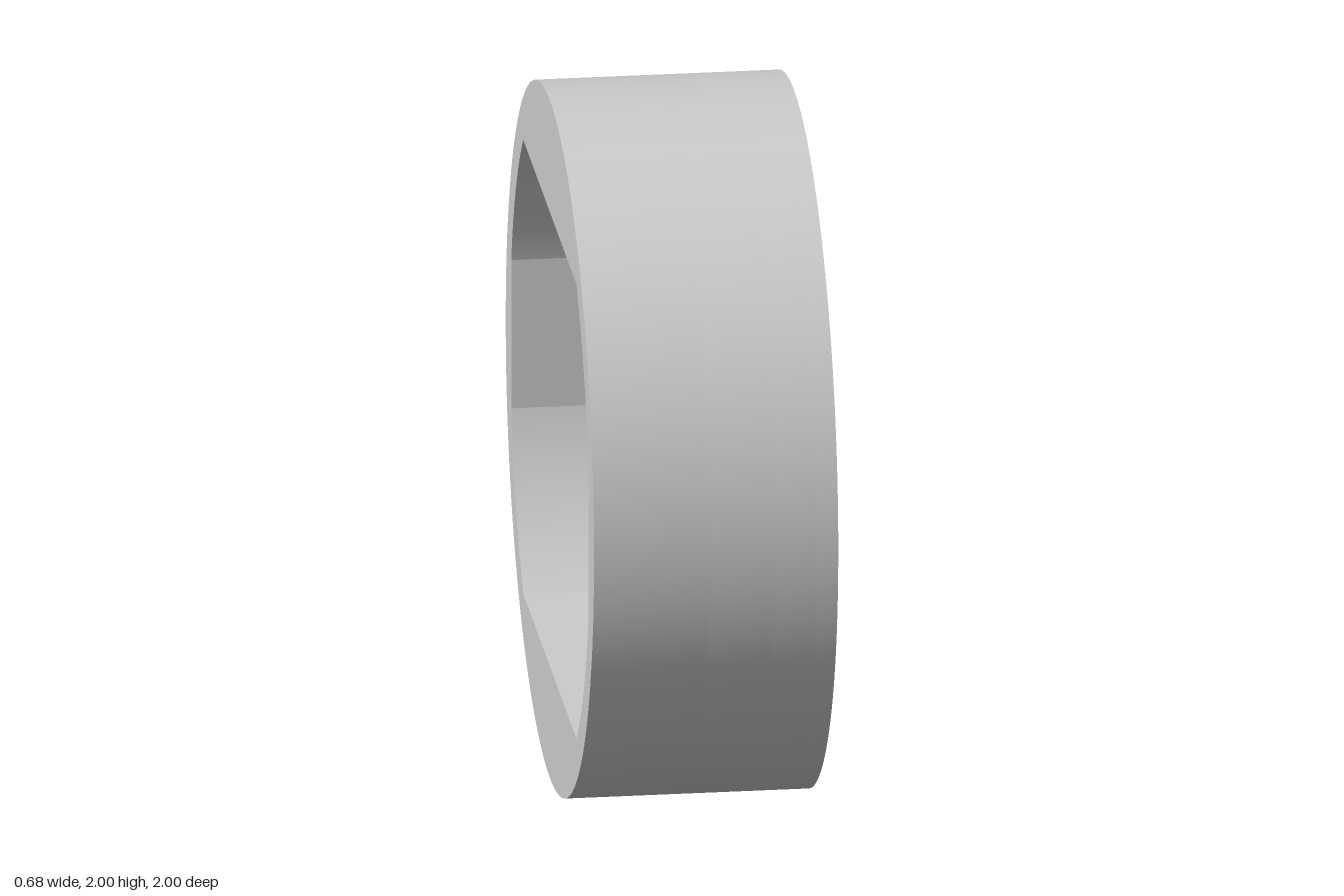
import * as THREE from 'three';
import { toCreasedNormals } from 'three/addons/utils/BufferGeometryUtils.js';

const OUTER = 1, BORE = 0.9, RECESS = 0.97;  // radii
const FLAT_SIDE = 0.873, FLAT_TOP = 0.67;    // half widths of the cavity's flats
const SLOT = 0.172;                          // half height of the side slot
const GAP = Math.asin(SLOT / OUTER);         // half angle of the slot
const X = [-0.342, -0.018, 0.165, 0.283, 0.342]; // section planes along the axis
const A = Math.acos(FLAT_SIDE / BORE), B = Math.asin(FLAT_TOP / BORE);

// cavity outline: a circle cut by four flats, drawn clockwise from the slot side
function cavityArcs(path) {
  for (const [from, to] of [[-A, -B], [Math.PI + B, Math.PI + A], [Math.PI - A, Math.PI - B], [B, A]]) {
    path.absarc(0, 0, BORE, from, to, true);
  }
  return path;
}

// outer edge from one side of the slot round to the other
function outerArc() {
  return new THREE.Shape().absarc(0, 0, OUTER, GAP, Math.PI * 2 - GAP, false);
}

// full outer edge, with the same points as the slotted one
function disc() {
  return outerArc().absarc(0, 0, OUTER, -GAP, GAP, false);
}

export function createModel() {
  const model = new THREE.Group();
  model.name = 'roundHousing';
  const grey = new THREE.MeshStandardMaterial({ color: 0xcccccc });
  grey.name = 'light grey';

  // extrude a section between two planes, its axis turned onto x
  function slab(name, shape, x0, x1) {
    let geometry = new THREE.ExtrudeGeometry(shape, { depth: x1 - x0, bevelEnabled: false, curveSegments: 64 });
    geometry.rotateY(Math.PI / 2).translate(x0, 1, 0);
    geometry = toCreasedNormals(geometry, 0.2);
    const mesh = new THREE.Mesh(geometry, grey);
    mesh.name = name;
    model.add(mesh);
  }

  // open rim with the flat-sided cavity
  const rim = disc();
  rim.holes.push(cavityArcs(new THREE.Path()));
  slab('openRim', rim, X[0], X[1]);

  // same wall, interrupted by the slot at the back
  const slotted = outerArc();
  slotted.lineTo(FLAT_SIDE, -SLOT);
  cavityArcs(slotted);
  slotted.lineTo(FLAT_SIDE, SLOT);
  slotted.closePath();
  slab('slottedWall', slotted, X[1], X[2]);

  // wide round recess undercutting the flats
  const recess = disc();
  recess.holes.push(new THREE.Path().absarc(0, 0, RECESS, 0, Math.PI * 2, true));
  slab('roundRecess', recess, X[2], X[3]);

  // closed end
  slab('closedEnd', disc(), X[3], X[4]);
  return model;
}
